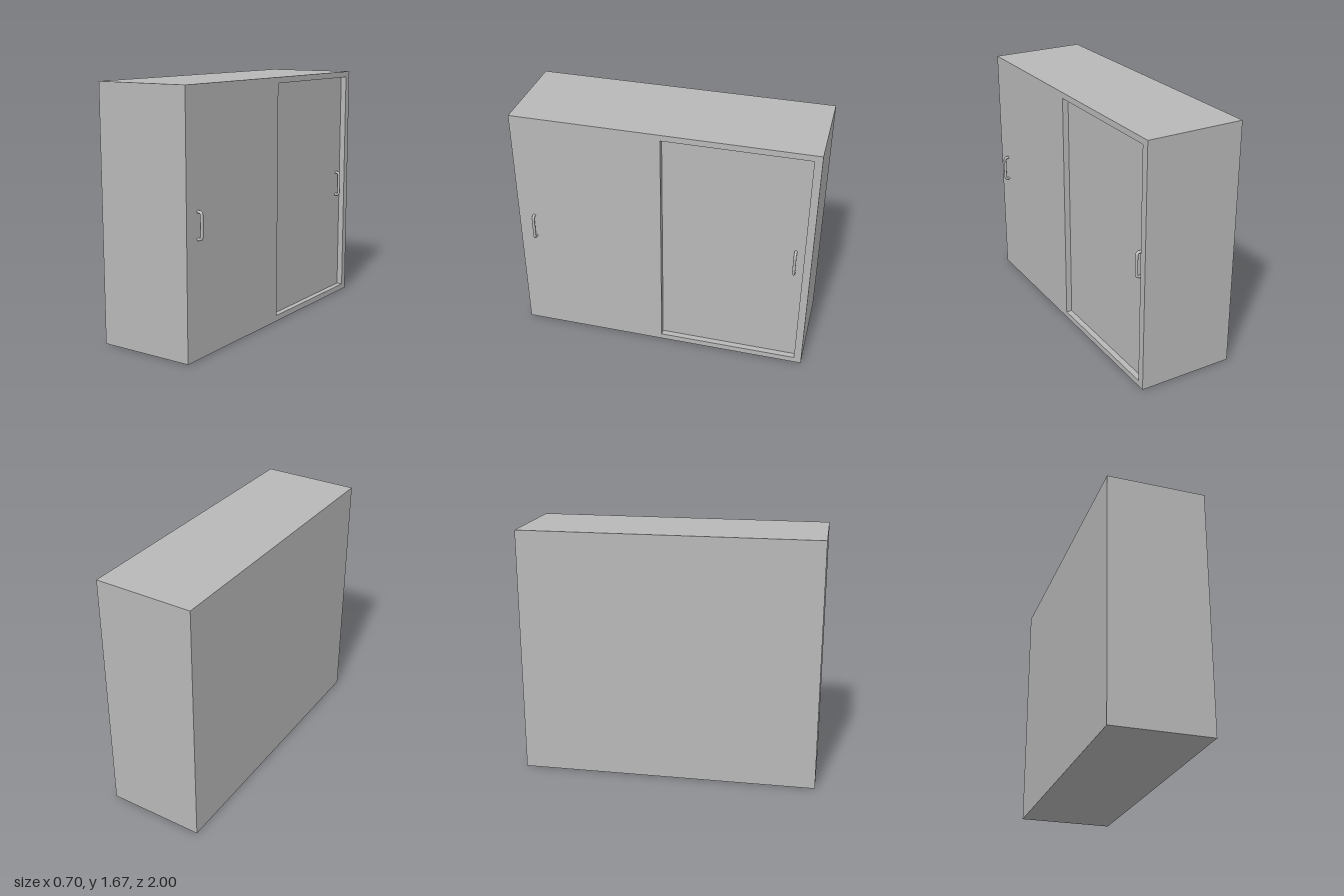
import * as THREE from 'three';

const BACK = -0.35, FRONT = 0.31, HEIGHT = 1.67, DEPTH = 0.04;
const OPENING = { z0: -0.95, z1: 0, y0: 0.04, y1: 1.63 };

export function createModel() {
  const model = new THREE.Group();
  model.name = 'slidingDoorCabinet';
  const grey = new THREE.MeshStandardMaterial({ color: 0xb8b8b8 });
  grey.name = 'plain grey';

  const add = (name, geometry) => {
    const mesh = new THREE.Mesh(geometry, grey);
    mesh.name = name;
    model.add(mesh);
    return mesh;
  };

  // Carcass: a box whose +x side (the first face) is left open for the doors
  const carcass = new THREE.BoxGeometry(FRONT - BACK, HEIGHT, 2);
  carcass.setIndex(Array.from(carcass.index.array).slice(6));
  carcass.translate((FRONT + BACK) / 2, HEIGHT / 2, 0);
  add('carcass', carcass);

  // Outer face with the sliding opening, drawn in (-z, y) and turned to face +x
  const { z0, z1, y0, y1 } = OPENING;
  const rectangle = (Type, a, b, c, d) => new Type([
    new THREE.Vector2(a, b), new THREE.Vector2(c, b),
    new THREE.Vector2(c, d), new THREE.Vector2(a, d),
  ]);
  const face = rectangle(THREE.Shape, -1, 0, 1, HEIGHT);
  face.holes.push(rectangle(THREE.Path, -z1, y0, -z0, y1));
  add('outerDoor', new THREE.ShapeGeometry(face).rotateY(Math.PI / 2).translate(FRONT, 0, 0));

  // Four inward-facing walls around the opening
  const reveal = new THREE.BoxGeometry(DEPTH, y1 - y0, z1 - z0);
  reveal.setIndex(Array.from(reveal.index.array).slice(12).reverse());
  reveal.computeVertexNormals();
  reveal.translate(FRONT - DEPTH / 2, (y0 + y1) / 2, (z0 + z1) / 2);
  add('openingReveal', reveal);

  // Recessed sliding door
  add('innerDoor', new THREE.PlaneGeometry(z1 - z0, y1 - y0)
    .rotateY(Math.PI / 2)
    .translate(FRONT - DEPTH, (y0 + y1) / 2, (z0 + z1) / 2));

  // Rounded bar handles, one on each door
  const reach = 0.029, half = 0.084, bend = 0.02;
  const v = (x, y) => new THREE.Vector3(x, y, 0);
  const path = new THREE.CurvePath();
  path.add(new THREE.LineCurve3(v(0, -half), v(reach - bend, -half)));
  path.add(new THREE.QuadraticBezierCurve3(v(reach - bend, -half), v(reach, -half), v(reach, bend - half)));
  path.add(new THREE.LineCurve3(v(reach, bend - half), v(reach, half - bend)));
  path.add(new THREE.QuadraticBezierCurve3(v(reach, half - bend), v(reach, half), v(reach - bend, half)));
  path.add(new THREE.LineCurve3(v(reach - bend, half), v(0, half)));
  const handle = new THREE.TubeGeometry(path, 64, 0.0095, 16, false);
  add('outerHandle', handle).position.set(FRONT, 0.835, 0.89);
  add('innerHandle', handle).position.set(FRONT - DEPTH, 0.835, -0.89);

  return model;
}
